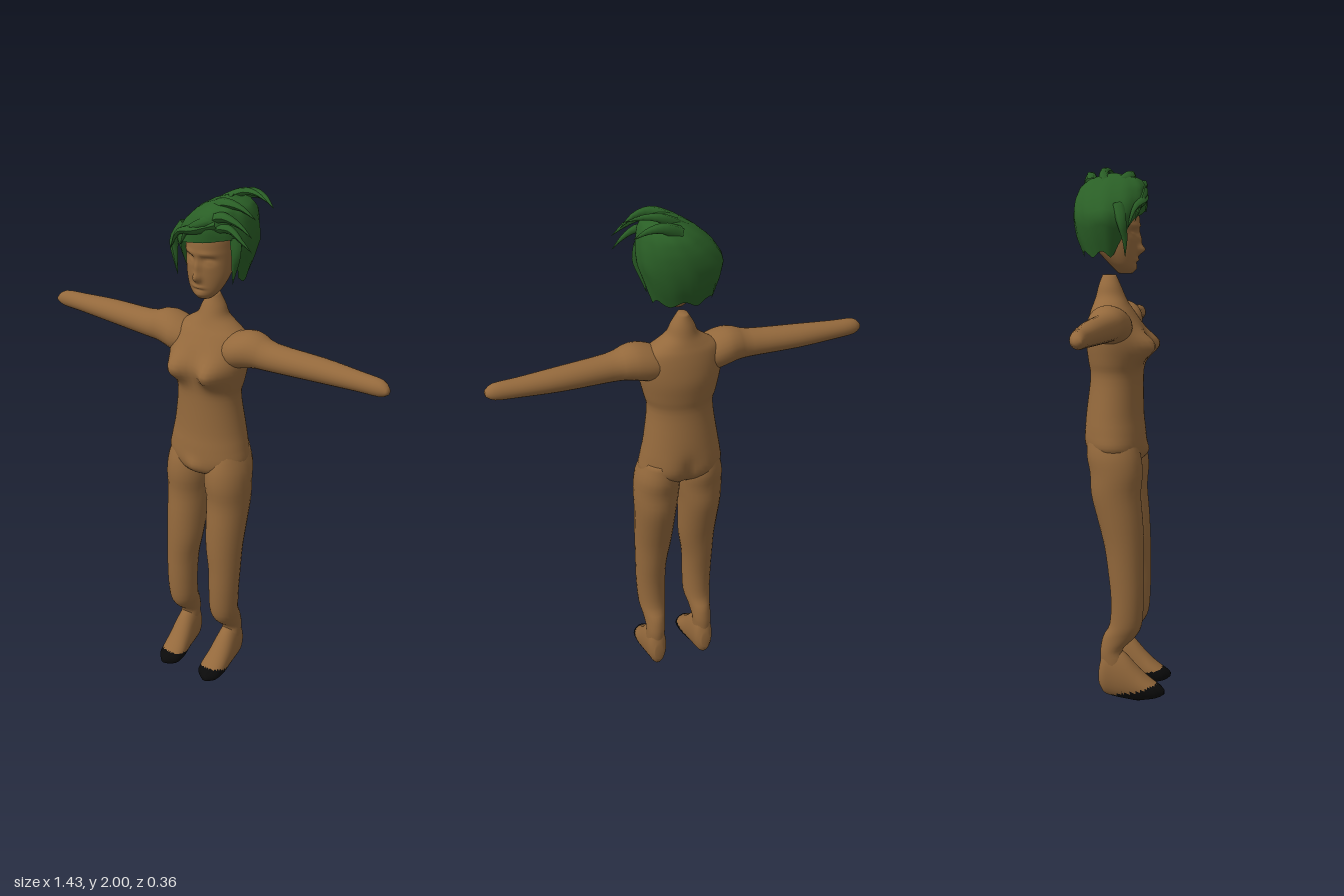
import * as THREE from 'three';

const skin = new THREE.MeshStandardMaterial({ color: 0x94693c });
skin.name = 'skin brown';
const green = new THREE.MeshStandardMaterial({ color: 0x2a5f26, side: THREE.DoubleSide });
green.name = 'hair green';
const black = new THREE.MeshStandardMaterial({ color: 0x0a0a0a });
black.name = 'toe black';

// Smoothly sample a ring table [w, u0, u1, v0, v1] at fractional row t
function sampleRow(rings, t) {
  const i = Math.min(Math.floor(t), rings.length - 2), f = t - i;
  const at = k => rings[Math.max(0, Math.min(rings.length - 1, k))];
  return rings[i].map((p1, k) => {
    const p0 = at(i - 1)[k], p2 = at(i + 1)[k], p3 = at(i + 2)[k];
    return p1 + 0.5 * f * (p2 - p0 + f * (2 * p0 - 5 * p1 + 4 * p2 - p3 + f * (3 * (p1 - p2) + p3 - p0)));
  });
}

// Order (u, v, w) into (x, y, z) for a loft along the given axis
const place = {
  x: (u, v, w) => [w, u, v],
  y: (u, v, w) => [v, w, u],
  z: (u, v, w) => [u, v, w],
};

// Closed body lofted through elliptical sections, with optional surface bumps
function loft(axis, rings, { n = 24, sub = 3, bump } = {}) {
  const pos = [], idx = [], rows = (rings.length - 1) * sub;
  for (let i = 0; i <= rows; i++) {
    const [w, u0, u1, v0, v1] = sampleRow(rings, i / sub);
    for (let j = 0; j < n; j++) {
      const a = j / n * Math.PI * 2;
      const p = place[axis]((u0 + u1) / 2 + (u1 - u0) / 2 * Math.cos(a),
        (v0 + v1) / 2 + (v1 - v0) / 2 * Math.sin(a), w);
      if (bump) p[2] += bump(p[0], p[1], Math.cos(a));
      pos.push(...p);
      if (i < rows) {
        const A = i * n + j, B = i * n + (j + 1) % n;
        idx.push(A, B, A + n, B, B + n, A + n);
      }
    }
  }
  for (const end of [0, 1]) {
    const [w, u0, u1, v0, v1] = rings[end ? rings.length - 1 : 0];
    const c = pos.length / 3, base = end * rows * n;
    pos.push(...place[axis]((u0 + u1) / 2, (v0 + v1) / 2, w));
    for (let j = 0; j < n; j++) {
      const A = base + j, B = base + (j + 1) % n;
      idx.push(c, end ? A : B, end ? B : A);
    }
  }
  return finish(pos, idx);
}

function finish(pos, idx) {
  const g = new THREE.BufferGeometry();
  g.setAttribute('position', new THREE.Float32BufferAttribute(pos, 3));
  g.setIndex(idx);
  g.computeVertexNormals();
  return g;
}

function mirrored(geo) {
  const pos = Array.from(geo.attributes.position.array, (v, i) => i % 3 ? v : -v);
  const old = geo.index.array, idx = [];
  for (let i = 0; i < old.length; i += 3) idx.push(old[i], old[i + 2], old[i + 1]);
  return finish(pos, idx);
}

// Two material groups: faces whose centre passes the test take the second one
function splitFaces(geo, test) {
  const p = geo.attributes.position, old = geo.index.array, sets = [[], []];
  for (let i = 0; i < old.length; i += 3) {
    const f = [old[i], old[i + 1], old[i + 2]];
    const mid = get => f.reduce((s, k) => s + p[get](k), 0) / 3;
    sets[test(mid('getY'), mid('getZ')) ? 1 : 0].push(...f);
  }
  geo.setIndex([...sets[0], ...sets[1]]);
  geo.addGroup(0, sets[0].length, 0);
  geo.addGroup(sets[0].length, sets[1].length, 1);
  return geo;
}

const gauss = (x, y, cx, cy, sx, sy) => Math.exp(-(((x - cx) / sx) ** 2) - ((y - cy) / sy) ** 2);

// Breasts, pubic mound and buttocks
function torsoBump(x, y, front) {
  const ax = Math.abs(x);
  if (front > 0) return 0.055 * gauss(ax, y, 0.075, 1.35, 0.045, 0.05) * Math.min(1, front * 3)
    + 0.012 * gauss(x, y, 0, 0.96, 0.03, 0.025);
  return -0.01 * gauss(ax, y, 0.08, 1.0, 0.05, 0.06) + 0.015 * gauss(x, y, 0, 0.97, 0.02, 0.06);
}

// Nose, brows, eye sockets, eyelids, lips and chin
function faceBump(x, y, front) {
  if (front < 0.1) return 0;
  const ax = Math.abs(x);
  return 0.024 * gauss(x, y, 0, 1.7, 0.013, 0.016) + 0.013 * gauss(x, y, 0, 1.735, 0.011, 0.03)
    - 0.015 * gauss(ax, y, 0.037, 1.765, 0.022, 0.014) + 0.008 * gauss(ax, y, 0.038, 1.76, 0.012, 0.007)
    + 0.006 * gauss(ax, y, 0.035, 1.788, 0.028, 0.009) + 0.007 * gauss(x, y, 0, 1.664, 0.022, 0.006)
    - 0.004 * gauss(x, y, 0, 1.653, 0.02, 0.005) + 0.005 * gauss(x, y, 0, 1.632, 0.022, 0.01);
}

// Hair cap: columns run from an uneven rim up to the off-centre crown
function hairCap() {
  const rings = [
    [1.66, -0.13, 0.02, -0.1, 0.11], [1.75, -0.167, 0.055, -0.125, 0.14], [1.82, -0.18, 0.08, -0.14, 0.162],
    [1.88, -0.178, 0.088, -0.1, 0.162], [1.93, -0.16, 0.082, -0.045, 0.152], [1.96, -0.125, 0.06, 0.005, 0.135],
    [1.98, -0.05, -0.03, 0.06, 0.08],
  ];
  const n = 48, rows = 14, pos = [], idx = [], ss = THREE.MathUtils.smoothstep;
  for (let i = 0; i <= rows; i++) for (let j = 0; j < n; j++) {
    const a = j / n * Math.PI * 2, deg = (a > Math.PI ? a - Math.PI * 2 : a) * 180 / Math.PI;
    const side = deg > 0 ? ss(deg, 50, 68) : ss(-deg, 25, 68);
    const rim = THREE.MathUtils.lerp(1.835 + 0.03 * Math.sin(a), 1.685 + 0.012 * Math.sin(7 * a), side);
    const t = 1 - (1 - i / rows) ** 1.7, y = rim + (1.98 - rim) * t;
    let k = 0;
    while (k < rings.length - 2 && rings[k + 1][0] < y) k++;
    const f = (y - rings[k][0]) / (rings[k + 1][0] - rings[k][0]);
    const [z0, z1, x0, x1] = rings[k].slice(1).map((v, m) => v + (rings[k + 1][m + 1] - v) * f);
    const r = 0.5 * (1 + 0.015 * Math.sin(11 * a + y * 20));
    pos.push((x0 + x1) / 2 + (x1 - x0) * r * Math.sin(a), y, (z0 + z1) / 2 + (z1 - z0) * r * Math.cos(a));
    if (i < rows) {
      const A = i * n + j, B = i * n + (j + 1) % n;
      idx.push(A, B, A + n, B, B + n, A + n);
    }
  }
  return finish(pos, idx);
}

// Tapered lock of hair along a short curve
function lock(points, radius) {
  const curve = new THREE.CatmullRomCurve3(points.map(p => new THREE.Vector3(...p)));
  const seg = 10, sides = 6, g = new THREE.TubeGeometry(curve, seg, radius, sides, false);
  const p = g.attributes.position, v = new THREE.Vector3();
  for (let i = 0; i < p.count; i++) {
    const t = Math.floor(i / (sides + 1)) / seg;
    v.fromBufferAttribute(p, i).lerp(curve.getPointAt(t), t ** 1.3);
    p.setXYZ(i, v.x, v.y, v.z);
  }
  g.computeVertexNormals();
  return g;
}

export function createModel() {
  const model = new THREE.Group();
  const add = (name, geo, mat, parent = model) => {
    const m = new THREE.Mesh(geo, mat);
    m.name = name;
    parent.add(m);
    return m;
  };

  add('torso', loft('y', [
    [0.9, -0.04, 0.04, -0.04, 0.04], [0.93, -0.09, 0.085, -0.11, 0.11], [0.97, -0.122, 0.095, -0.16, 0.16],
    [1.03, -0.13, 0.092, -0.155, 0.155], [1.1, -0.13, 0.085, -0.142, 0.142], [1.23, -0.115, 0.083, -0.125, 0.125],
    [1.29, -0.122, 0.088, -0.137, 0.137], [1.36, -0.13, 0.098, -0.152, 0.152], [1.42, -0.125, 0.08, -0.155, 0.155],
    [1.47, -0.115, 0.05, -0.14, 0.14], [1.5, -0.105, 0.03, -0.1, 0.1], [1.53, -0.095, 0.015, -0.06, 0.06],
    [1.57, -0.085, -0.002, -0.042, 0.042], [1.61, -0.07, -0.02, -0.018, 0.018],
  ], { n: 48, sub: 4, bump: torsoBump }), skin);

  const arm = loft('x', [
    [0.06, 1.37, 1.47, -0.09, 0.04], [0.12, 1.36, 1.495, -0.1, 0.06], [0.17, 1.37, 1.507, -0.098, 0.055],
    [0.21, 1.378, 1.502, -0.088, 0.045], [0.27, 1.38, 1.483, -0.075, 0.033], [0.45, 1.385, 1.473, -0.08, 0.015],
    [0.6, 1.392, 1.462, -0.071, 0.002], [0.685, 1.396, 1.456, -0.06, -0.004], [0.715, 1.412, 1.432, -0.04, -0.015],
  ]);
  const leg = loft('y', [
    [0.1, -0.06, 0.04, 0.065, 0.135], [0.16, -0.065, 0.03, 0.065, 0.138], [0.2, -0.065, 0.02, 0.062, 0.138],
    [0.25, -0.055, 0.068, 0.055, 0.142], [0.3, -0.03, 0.093, 0.043, 0.151], [0.4, -0.025, 0.1, 0.04, 0.157],
    [0.5, -0.035, 0.1, 0.036, 0.16], [0.6, -0.05, 0.1, 0.02, 0.163], [0.7, -0.075, 0.095, 0.013, 0.168],
    [0.8, -0.1, 0.087, 0.008, 0.172], [0.88, -0.105, 0.093, -0.002, 0.174], [0.95, -0.118, 0.085, 0, 0.168],
    [1.02, -0.11, 0.06, 0.03, 0.145],
  ]);
  const footRings = [
    [-0.07, 0.085, 0.12, 0.06, 0.13], [-0.05, 0.066, 0.136, 0.025, 0.2], [-0.01, 0.06, 0.14, 0.012, 0.21],
    [0.03, 0.056, 0.143, 0.006, 0.185], [0.075, 0.05, 0.145, 0, 0.135], [0.11, 0.046, 0.145, 0.005, 0.1],
    [0.145, 0.05, 0.14, 0.013, 0.072], [0.165, 0.068, 0.125, 0.02, 0.06], [0.18, 0.09, 0.11, 0.03, 0.046],
  ];
  const foot = loft('z', footRings, { n: 28, sub: 4 });
  const toeArea = (y, z) => z > -0.03 && y < 0.016 + 0.3 * (z + 0.03);

  for (const side of ['left', 'right']) {
    const pick = g => side === 'left' ? g : mirrored(g);
    add(side + 'Arm', pick(arm), skin);
    // The legs stand slightly off centre
    const limb = new THREE.Group();
    limb.name = side + 'LegGroup';
    limb.position.x = 0.005;
    model.add(limb);
    add(side + 'Leg', pick(leg), skin, limb);
    add(side + 'Foot', splitFaces(pick(foot.clone()), toeArea), [skin, black], limb);
  }

  add('head', loft('y', [
    [1.615, -0.01, 0.042, -0.028, 0.028], [1.635, -0.03, 0.054, -0.05, 0.05], [1.66, -0.055, 0.059, -0.066, 0.066],
    [1.7, -0.09, 0.062, -0.08, 0.08], [1.75, -0.12, 0.064, -0.087, 0.087], [1.8, -0.13, 0.068, -0.088, 0.088],
    [1.85, -0.12, 0.06, -0.078, 0.085], [1.89, -0.09, 0.03, -0.04, 0.06],
  ], { n: 64, sub: 8, bump: faceBump }), skin);

  const hair = new THREE.Group();
  hair.name = 'hair';
  model.add(hair);
  add('hairCap', hairCap(), green, hair);
  // Swept locks: crown spikes, side spikes, fringe and temple strands
  const locks = [
    [[[0, 1.93, -0.06], [0.09, 1.985, -0.08], [0.15, 1.992, -0.07], [0.215, 1.975, -0.05]], 0.024],
    [[[0.04, 1.94, -0.12], [0.1, 1.97, -0.13], [0.15, 1.965, -0.125], [0.2, 1.935, -0.11]], 0.026],
    [[[0.02, 1.94, 0.0], [0.09, 1.972, 0.02], [0.15, 1.965, 0.02], [0.205, 1.93, 0.01]], 0.026],
    [[[0.04, 1.91, 0.05], [0.11, 1.94, 0.065], [0.17, 1.92, 0.06], [0.22, 1.885, 0.06]], 0.024],
    [[[0.06, 1.89, 0.06], [0.13, 1.9, 0.06], [0.18, 1.87, 0.065], [0.22, 1.835, 0.06]], 0.02],
    [[[0.1, 1.93, 0.03], [0.04, 1.91, 0.075], [-0.03, 1.87, 0.075], [-0.075, 1.8, 0.06]], 0.026],
    [[[0.08, 1.91, 0.06], [0, 1.88, 0.08], [-0.08, 1.85, 0.06], [-0.13, 1.77, 0.04]], 0.024],
    [[[-0.09, 1.86, 0.0], [-0.125, 1.8, 0.02], [-0.115, 1.74, 0.03], [-0.105, 1.675, 0.03]], 0.024],
    [[[0.13, 1.86, 0.02], [0.138, 1.8, 0.03], [0.125, 1.74, 0.02], [0.112, 1.68, 0.01]], 0.024],
  ];
  locks.forEach(([pts, r], i) => add('hairLock' + (i + 1), lock(pts, r), green, hair));

  return model;
}
